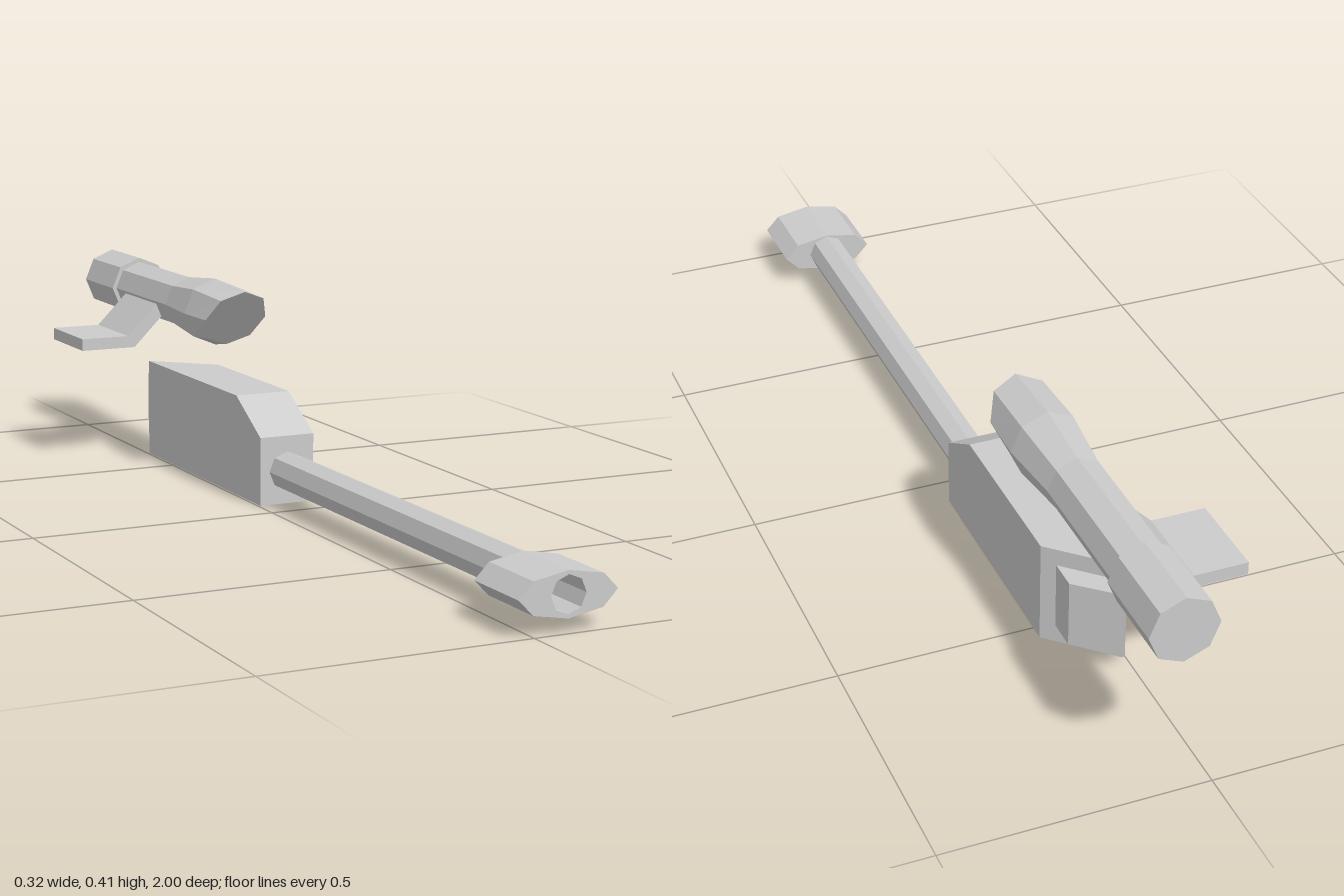
import * as THREE from 'three';

const AXIS_X = 0.064;

export function createModel() {
  const model = new THREE.Group();
  const material = new THREE.MeshStandardMaterial({ color: 0xcccccc, flatShading: true });

  const add = (name, geometry) => {
    geometry.computeVertexNormals();
    const mesh = new THREE.Mesh(geometry, material);
    mesh.name = name;
    model.add(mesh);
    return mesh;
  };
  const shapeOf = (points) => new THREE.Shape(points.map(([x, y]) => new THREE.Vector2(x, y)));
  const extrude = (shape, depth) => new THREE.ExtrudeGeometry(shape, { depth, bevelEnabled: false });
  const octagon = (x, y, r) => Array.from({ length: 8 }, (_, i) => {
    const a = (i * Math.PI) / 4;
    return new THREE.Vector2(x + r * Math.cos(a), y + r * Math.sin(a));
  });

  // Receiver: side profile drawn as (-z, y), extruded across x
  const receiver = extrude(shapeOf([
    [0.065, 0], [0.64, 0], [0.64, 0.205], [0.18, 0.205], [0.065, 0.138],
  ]), 0.117);
  receiver.rotateY(Math.PI / 2).translate(0.005, 0, 0);
  // Slant the rear face by pulling its left edge forward
  const rp = receiver.attributes.position;
  for (let i = 0; i < rp.count; i++) {
    if (rp.getZ(i) < -0.6 && rp.getX(i) > 0.06) rp.setZ(i, -0.53);
  }
  add('receiver', receiver);

  // Block on the slanted rear face: plan drawn as (x, -z), extruded upwards
  const block = extrude(shapeOf([[0.1, 0.54], [0.1, 0.61], [0.02, 0.68], [0.02, 0.615]]), 0.135);
  block.rotateX(-Math.PI / 2).translate(0, 0.036, 0);
  add('rearBlock', block);

  // Barrel
  const barrel = new THREE.CylinderGeometry(0.039, 0.039, 0.94, 8);
  barrel.rotateX(Math.PI / 2).translate(AXIS_X, 0.067, 0.39);
  add('barrel', barrel);

  // Muzzle brake with an octagonal bore
  const muzzle = shapeOf([
    [-0.031, 0.067], [-0.003, 0.038], [AXIS_X, 0.026], [0.131, 0.038],
    [0.159, 0.067], [0.131, 0.096], [AXIS_X, 0.108], [-0.003, 0.096],
  ]);
  muzzle.holes.push(new THREE.Path(octagon(AXIS_X, 0.067, 0.034).reverse()));
  add('muzzleBrake', extrude(muzzle, 0.145).translate(0, 0, 0.855));

  // Scope: eight-sided lathe along z, its front end cut at a slant
  const scope = new THREE.LatheGeometry([
    [0, -1], [0.065, -1], [0.065, -0.835], [0.056, -0.835],
    [0.056, -0.555], [0.07, -0.42], [0.068, -0.315], [0, -0.315],
  ].map(([r, z]) => new THREE.Vector2(r, z)), 8);
  scope.rotateX(Math.PI / 2);
  const sp = scope.attributes.position;
  for (let i = 0; i < sp.count; i++) {
    if (sp.getZ(i) > -0.35) {
      const y = sp.getY(i) * 0.9;
      sp.setY(i, y);
      sp.setZ(i, -0.315 + y * 0.78);
    }
  }
  add('scope', scope).position.set(0.065, 0.34, 0);

  // Bent bracket reaching out from the scope
  const bracket = shapeOf([
    [-0.16, 0.243], [-0.04, 0.243], [0.04, 0.323], [0.025, 0.348], [-0.055, 0.268], [-0.16, 0.268],
  ]);
  add('scopeBracket', extrude(bracket, 0.175).translate(0, 0, -0.786));

  return model;
}
